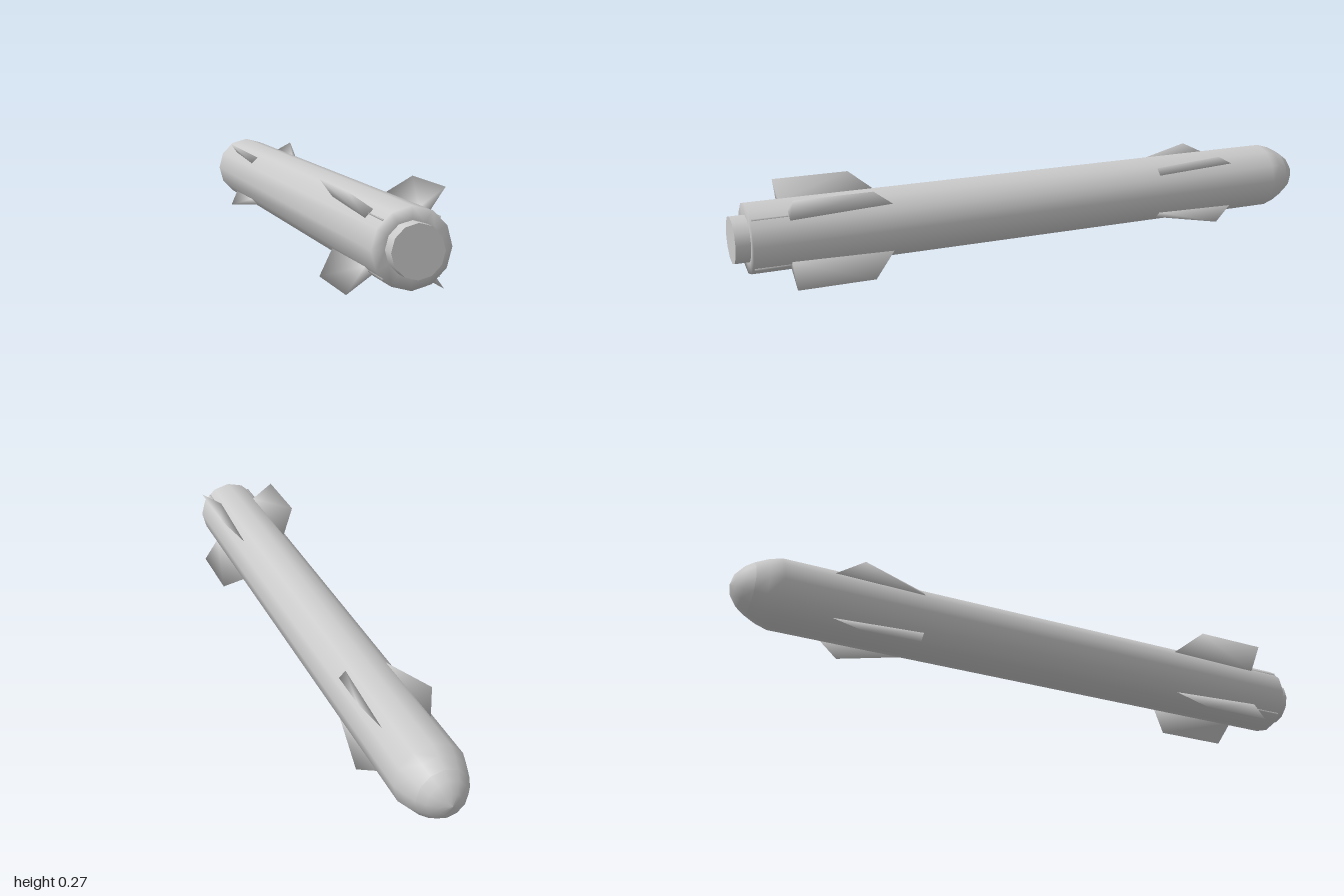
import * as THREE from 'three';
import { ConvexGeometry } from 'three/addons/geometries/ConvexGeometry.js';
import { mergeVertices } from 'three/addons/utils/BufferGeometryUtils.js';

const AXIS_Y = 0.138;
const grey = new THREE.MeshStandardMaterial({ color: 0xcccccc });

// Twelve-sided body of revolution along z, from [radius, z] pairs running nose to tail
function turned(name, profile) {
  const geo = new THREE.LatheGeometry(profile.map(([r, z]) => new THREE.Vector2(r, z)), 12);
  geo.rotateX(Math.PI / 2);
  const mesh = new THREE.Mesh(geo, grey);
  mesh.name = name;
  return mesh;
}

// Convex fin with softly blended normals; points are [thickness, radius, z]
function finGeometry(points) {
  const geo = new ConvexGeometry(points.map((p) => new THREE.Vector3(...p)));
  geo.deleteAttribute('normal');
  geo.deleteAttribute('uv');
  const merged = mergeVertices(geo, 1e-4);
  merged.computeVertexNormals();
  return merged;
}

export function createModel() {
  const model = new THREE.Group();
  model.name = 'missile';
  const airframe = new THREE.Group();
  airframe.name = 'airframe';
  airframe.position.y = AXIS_Y;
  model.add(airframe);

  // Fuselage, rounded nose and exhaust stub
  airframe.add(
    turned('noseCap', [[0, -1], [0.035, -0.99], [0.062, -0.968], [0.08, -0.942]]),
    turned('fuselage', [[0.08, -0.942], [0.098, -0.905], [0.11, -0.865], [0.11, 0.955], [0.072, 0.955]]),
    turned('exhaustWall', [[0.073, 0.95], [0.073, 1]]),
    turned('exhaustDisc', [[0.073, 1], [0, 1]])
  );

  // Wedge fins: sharp at the leading root, thick at the trailing root
  const parts = {
    tailFin: finGeometry([
      [0, 0.105, 0.52], [-0.016, 0.105, 0.84], [0.016, 0.105, 0.84],
      [0, 0.194, 0.6], [0, 0.194, 0.84],
    ]),
    foreFin: finGeometry([
      [0, 0.106, -0.705], [-0.015, 0.105, -0.41], [0.015, 0.105, -0.41],
      [0, 0.163, -0.625],
    ]),
    // Slim ridge running from the tail fin to the rear rim
    tailStrake: finGeometry([
      [0, 0.104, 0.5], [-0.004, 0.104, 0.95], [0.004, 0.104, 0.95], [0, 0.112, 0.95],
    ]),
  };

  // Four sets in an X arrangement
  for (let i = 0; i < 4; i++) {
    const set = new THREE.Group();
    set.name = `finSet${i + 1}`;
    set.rotation.z = Math.PI / 4 + (i * Math.PI) / 2;
    for (const [name, geo] of Object.entries(parts)) {
      const mesh = new THREE.Mesh(geo, grey);
      mesh.name = name;
      set.add(mesh);
    }
    airframe.add(set);
  }
  return model;
}
